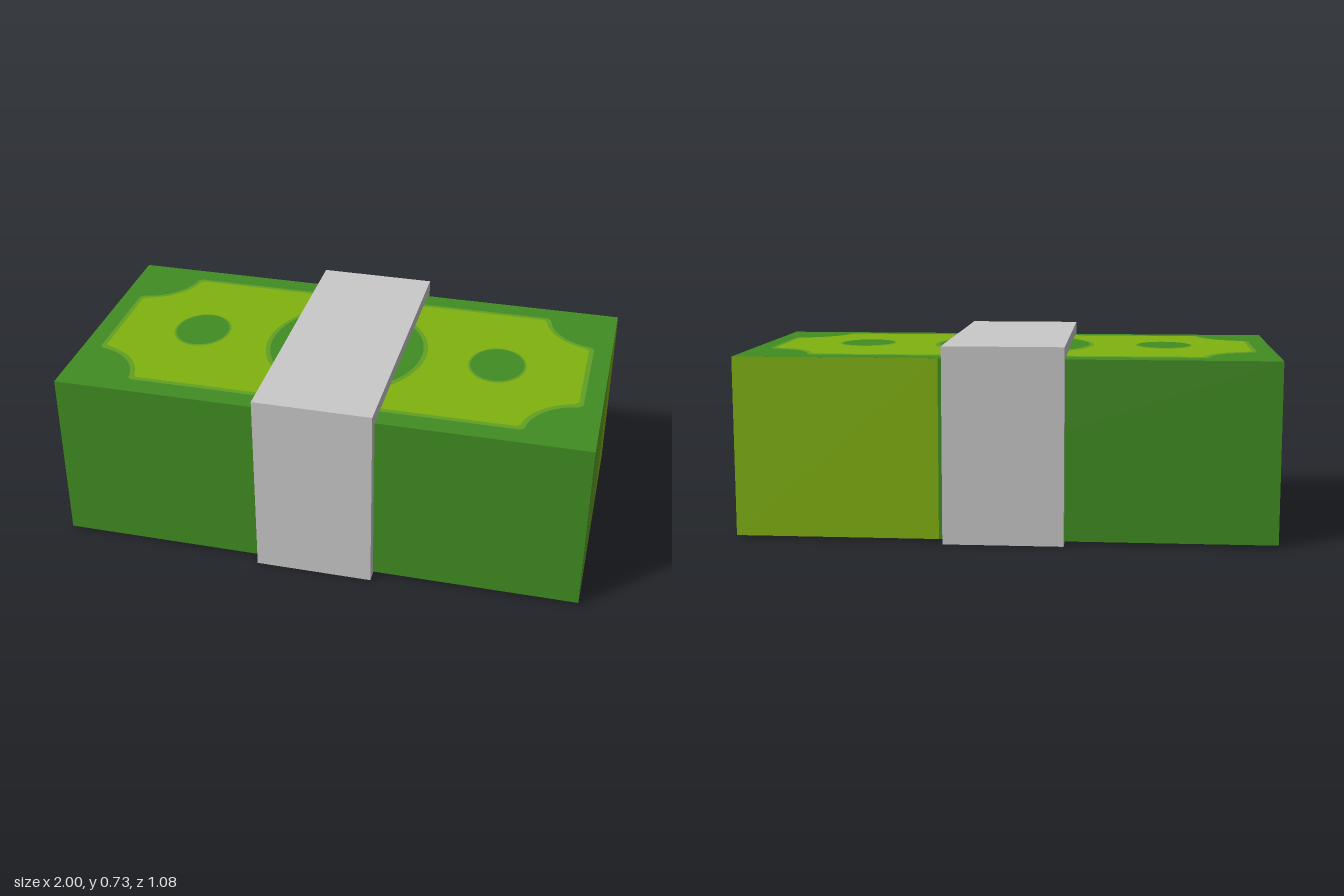
import * as THREE from 'three';

const mat = (name, color) => {
  const m = new THREE.MeshStandardMaterial({ color });
  m.name = name;
  return m;
};

// Note panel outline with scooped corners; inset shrinks it evenly
function panelShape(inset) {
  const w = 0.93 - inset, h = 0.42 - inset, r = 0.21 + inset;
  const cx = 0.95, cy = 0.43;
  const a = Math.asin((cx - w + 0.015) / r), b = Math.asin((cy - h + 0.012) / r);
  const quarter = [new THREE.Vector2(w, cy - r * Math.cos(a) - 0.015)];
  for (let i = 0; i <= 12; i++) {
    const t = a + (Math.PI / 2 - b - a) * (i / 12);
    quarter.push(new THREE.Vector2(cx - r * Math.sin(t), cy - r * Math.cos(t)));
  }
  quarter.push(new THREE.Vector2(cx - r * Math.cos(b) - 0.012, h));
  const flip = (sx, sy) => quarter.map((p) => new THREE.Vector2(p.x * sx, p.y * sy));
  return new THREE.Shape([
    ...quarter,
    ...flip(-1, 1).reverse(),
    ...flip(-1, -1),
    ...flip(1, -1).reverse(),
  ]);
}

function ovalShape(x, rx, ry) {
  const s = new THREE.Shape();
  s.absellipse(x, 0, rx, ry, 0, Math.PI * 2);
  return s;
}

export function createModel() {
  const darkGreen = mat('dark green', 0x418d22);
  const midGreen = mat('mid green', 0x62a023);
  const lime = mat('lime', 0x80b20e);
  const grey = mat('band grey', 0xc9c9c9);

  const model = new THREE.Group();
  model.name = 'banknoteBundle';
  const bottom = 0.01, top = 0.68, height = top - bottom, midY = (top + bottom) / 2;

  const add = (name, geometry, material, parent = model) => {
    const mesh = new THREE.Mesh(geometry, material);
    mesh.name = name;
    parent.add(mesh);
    return mesh;
  };

  // Stack of notes
  add('noteStack', new THREE.BoxGeometry(1.998, height, 0.998), darkGreen).position.y = midY;

  // Coloured paper edges on the ends and the back
  const edge = (name, width, material, x, z, turn) => {
    const m = add(name, new THREE.PlaneGeometry(width, height), material);
    m.position.set(x, midY, z);
    m.rotation.y = turn;
  };
  edge('leftEndFrontEdge', 0.6, midGreen, 1, 0.2, Math.PI / 2);
  edge('leftEndBackEdge', 0.4, lime, 1, -0.3, Math.PI / 2);
  edge('rightEndFrontEdge', 0.22, midGreen, -1, 0.39, -Math.PI / 2);
  edge('rightEndBackEdge', 0.78, lime, -1, -0.11, -Math.PI / 2);
  edge('backEdge', 0.76, lime, 0.62, -0.5, Math.PI);

  // Printed face, in thin layers, on the top and the bottom
  const layers = [
    ['panelBorder', [panelShape(0)], midGreen],
    ['panel', [panelShape(0.018)], lime],
    ['ovalBorders', [ovalShape(0, 0.312, 0.335), ovalShape(-0.585, 0.11, 0.128), ovalShape(0.585, 0.11, 0.128)], midGreen],
    ['ovals', [ovalShape(0, 0.295, 0.318), ovalShape(-0.585, 0.102, 0.12), ovalShape(0.585, 0.102, 0.12)], darkGreen],
  ];
  for (const side of [1, -1]) {
    const face = new THREE.Group();
    face.name = side > 0 ? 'topPrint' : 'bottomPrint';
    layers.forEach(([name, shapes, material], i) => {
      add(name, new THREE.ShapeGeometry(shapes, 32), material, face).position.z = 0.0015 * (i + 1);
    });
    face.rotation.x = -side * Math.PI / 2;
    face.position.y = side > 0 ? top : bottom;
    model.add(face);
  }

  // Paper band around the middle
  add('band', new THREE.BoxGeometry(0.444, 0.728, 1.08), grey).position.y = 0.364;

  return model;
}
